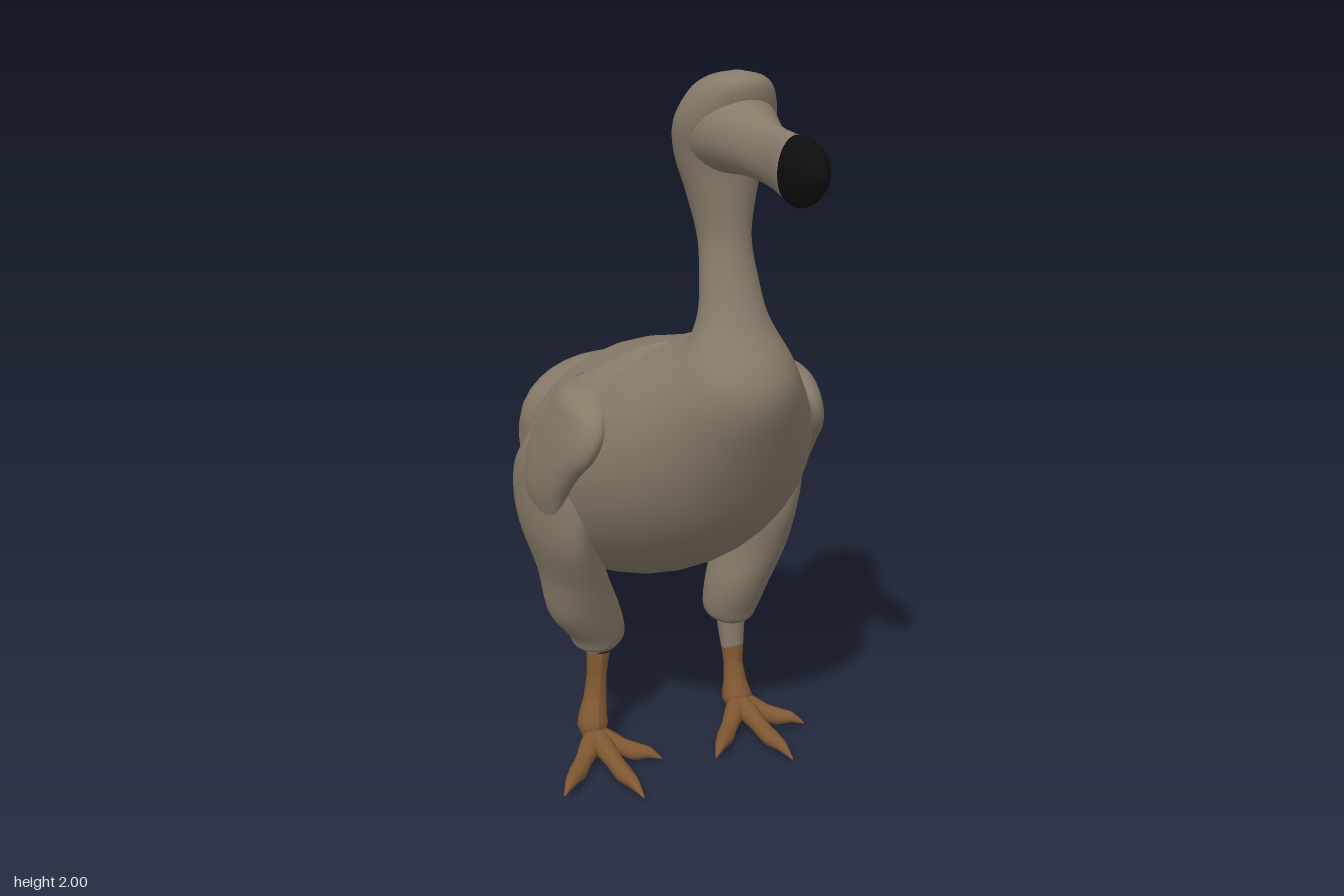
import * as THREE from 'three';

const plumage = new THREE.MeshStandardMaterial({ color: 0x877a69 });
plumage.name = 'taupe plumage';
const skin = new THREE.MeshStandardMaterial({ color: 0x7f5732 });
skin.name = 'orange brown leg skin';
const horn = new THREE.MeshStandardMaterial({ color: 0x0e0e0e });
horn.name = 'black horn';

// Smooth closed skin through oval rings [x, yA, zA, yB, zB, halfWidth]:
// A and B are the two ends of the oval in the side plane.
function loft(rings, steps = 6, sides = 32) {
  const spline = (i, j, k) => new THREE.CatmullRomCurve3(
    rings.map(r => new THREE.Vector3(r[i], r[j], r[k])), false, 'catmullrom', 0.5);
  const first = spline(0, 1, 2), second = spline(3, 4, 5);
  const n = (rings.length - 1) * steps;
  const pos = [], index = [];
  for (let i = 0; i <= n; i++) {
    const [p, q] = [first.getPoint(i / n), second.getPoint(i / n)];
    const [x, yA, zA, yB, zB, w] = [p.x, p.y, p.z, q.x, q.y, Math.max(q.z, 0.002)];
    for (let j = 0; j < sides; j++) {
      const a = j / sides * Math.PI * 2, c = Math.cos(a) / 2;
      pos.push(x + Math.sin(a) * w, (yA + yB) / 2 + c * (yA - yB), (zA + zB) / 2 + c * (zA - zB));
    }
  }
  for (let i = 0; i < n; i++) {
    for (let j = 0; j < sides; j++) {
      const a = i * sides + j, b = i * sides + (j + 1) % sides;
      index.push(a, b, a + sides, b, b + sides, a + sides);
    }
  }
  // End caps
  for (let j = 1; j < sides - 1; j++) {
    const e = n * sides;
    index.push(0, j + 1, j, e, e + j, e + j + 1);
  }
  // Turn the faces outward when the signed volume is negative
  let volume = 0;
  const v = k => new THREE.Vector3().fromArray(pos, k * 3);
  for (let t = 0; t < index.length; t += 3) {
    volume += v(index[t]).dot(v(index[t + 1]).cross(v(index[t + 2])));
  }
  if (volume < 0) index.reverse();
  const g = new THREE.BufferGeometry();
  g.setAttribute('position', new THREE.Float32BufferAttribute(pos, 3));
  g.setIndex(index);
  g.computeVertexNormals();
  return g;
}

// Tapered round limb along [x, y, z, radius] points
function limb(points) {
  const curve = new THREE.CatmullRomCurve3(points.map(p => new THREE.Vector3(...p)));
  const n = (points.length - 1) * 5, sides = 12;
  const g = new THREE.TubeGeometry(curve, n, 1, sides, false);
  const pos = g.attributes.position, p = new THREE.Vector3();
  for (let i = 0; i <= n; i++) {
    const t = i / n * (points.length - 1), k = Math.min(Math.floor(t), points.length - 2);
    const r = THREE.MathUtils.lerp(points[k][3], points[k + 1][3], t - k);
    const c = curve.getPointAt(i / n);
    for (let j = 0; j <= sides; j++) {
      const m = i * (sides + 1) + j;
      p.fromBufferAttribute(pos, m).sub(c).multiplyScalar(r).add(c);
      pos.setXYZ(m, p.x, p.y, p.z);
    }
  }
  g.computeVertexNormals();
  return g;
}

// The legs stand unevenly: x of the lower thigh, knee, shank and foot
const stance = [
  { side: 'left', s: 1, thighX: [0.295, 0.262], thighW: 0.09, kneeX: 0.25, footX: 0.245, bareTop: 0.225 },
  { side: 'right', s: -1, thighX: [-0.265, -0.228], thighW: 0.102, kneeX: -0.185, footX: -0.222, bareTop: 0.3 },
];

export function createModel() {
  const model = new THREE.Group();
  const add = (name, geometry, material, parent = model) => {
    const mesh = new THREE.Mesh(geometry, material);
    mesh.name = name;
    parent.add(mesh);
    return mesh;
  };

  // Rump, belly, chest, neck and head in one skin
  add('bodyNeckAndHead', loft([
    [0, 0.84, -0.66, 0.76, -0.66, 0.03],
    [0, 0.97, -0.61, 0.62, -0.6, 0.13],
    [0, 1.04, -0.51, 0.535, -0.51, 0.21],
    [0, 1.09, -0.39, 0.485, -0.38, 0.295],
    [0, 1.195, -0.2, 0.487, -0.22, 0.365],
    [0, 1.26, 0, 0.56, 0, 0.37],
    [0, 1.30, 0.13, 0.68, 0.2, 0.335],
    [0, 1.33, 0.2, 0.84, 0.36, 0.28],
    [0, 1.35, 0.25, 1.06, 0.48, 0.205],
    [0, 1.37, 0.28, 1.25, 0.54, 0.14],
    [0, 1.42, 0.287, 1.4, 0.455, 0.09],
    [0, 1.51, 0.275, 1.5, 0.41, 0.073],
    [0, 1.6, 0.245, 1.6, 0.385, 0.066],
    [0, 1.7, 0.21, 1.7, 0.382, 0.085],
    [0, 1.8, 0.19, 1.8, 0.388, 0.115],
    [0, 1.88, 0.203, 1.88, 0.42, 0.125],
    [0, 1.95, 0.25, 1.95, 0.438, 0.103],
    [0, 1.985, 0.3, 1.985, 0.43, 0.068],
    [0, 2.0, 0.36, 2.0, 0.39, 0.012],
  ]), plumage);

  // Beak with its black hooked tip
  add('beak', loft([
    [0, 1.97, 0.3, 1.74, 0.28, 0.116],
    [0, 1.955, 0.39, 1.76, 0.37, 0.104],
    [0, 1.93, 0.47, 1.77, 0.46, 0.074],
    [0, 1.905, 0.56, 1.765, 0.56, 0.044],
    [0, 1.897, 0.66, 1.745, 0.655, 0.041],
  ]), plumage);
  add('beakTip', loft([
    [0, 1.897, 0.66, 1.746, 0.645, 0.041],
    [0, 1.9, 0.7, 1.74, 0.685, 0.044],
    [0, 1.885, 0.75, 1.757, 0.735, 0.037],
    [0, 1.855, 0.78, 1.79, 0.77, 0.022],
    [0, 1.83, 0.79, 1.815, 0.788, 0.004],
  ]), horn);

  // Drooping tail puff, set a little to the left
  add('tail', loft([
    [0.06, 1.03, -0.35, 0.8, -0.38, 0.08],
    [0.07, 1.07, -0.45, 0.72, -0.43, 0.18],
    [0.055, 1.045, -0.58, 0.7, -0.5, 0.215],
    [0.03, 0.99, -0.705, 0.7, -0.55, 0.232],
    [0.03, 0.88, -0.775, 0.68, -0.57, 0.238],
    [0.02, 0.75, -0.785, 0.65, -0.58, 0.22],
    [0.0, 0.63, -0.745, 0.6, -0.59, 0.175],
    [-0.01, 0.56, -0.69, 0.56, -0.61, 0.1],
    [-0.01, 0.54, -0.655, 0.545, -0.64, 0.02],
  ]), plumage);

  for (const { side, s, thighX, thighW, kneeX, footX, bareTop } of stance) {
    const limbs = new THREE.Group();
    limbs.name = side + 'Limbs';
    model.add(limbs);

    // Shoulder ridge running back from the neck
    add(side + 'Shoulder', loft([
      [s * 0.1, 1.32, 0.22, 1.24, 0.24, 0.02],
      [s * 0.15, 1.295, 0.16, 1.12, 0.24, 0.06],
      [s * 0.22, 1.24, 0.09, 1.02, 0.19, 0.08],
      [s * 0.28, 1.17, 0, 0.92, 0.1, 0.075],
      [s * 0.31, 1.06, -0.11, 0.84, -0.07, 0.055],
      [s * 0.3, 0.97, -0.22, 0.87, -0.22, 0.02],
    ]), plumage, limbs);

    // Stubby wing lobe
    add(side + 'Wing', loft([
      [s * 0.27, 1.19, 0.12, 1.19, 0.07, 0.02],
      [s * 0.295, 1.155, 0.21, 1.165, 0, 0.05],
      [s * 0.31, 1.1, 0.25, 1.11, -0.05, 0.058],
      [s * 0.33, 1.03, 0.235, 1.04, -0.1, 0.056],
      [s * 0.35, 0.96, 0.17, 0.95, -0.14, 0.052],
      [s * 0.36, 0.88, 0.11, 0.86, -0.14, 0.045],
      [s * 0.35, 0.78, 0.06, 0.78, -0.1, 0.03],
      [s * 0.34, 0.7, 0, 0.7, -0.04, 0.01],
    ]), plumage, limbs);

    // Feathered thigh, broad at the haunch
    add(side + 'Thigh', loft([
      [s * 0.29, 1.06, 0.04, 1.06, -0.08, 0.03],
      [s * 0.31, 0.95, 0.11, 0.95, -0.22, 0.08],
      [s * 0.315, 0.84, 0.13, 0.84, -0.3, 0.088],
      [s * 0.307, 0.72, 0.115, 0.72, -0.29, 0.088],
      [thighX[0], 0.58, 0.06, 0.58, -0.235, 0.09],
      [thighX[1], 0.45, 0.01, 0.45, -0.205, thighW],
      [kneeX, 0.36, -0.03, 0.36, -0.2, 0.083],
      [kneeX, 0.32, -0.05, 0.32, -0.18, 0.062],
      [kneeX, 0.3, -0.09, 0.3, -0.13, 0.012],
    ]), plumage, limbs);

    // Shank, feathered at the top and bare below
    add(side + 'UpperShank', limb([
      [kneeX, 0.34, -0.115, 0.046],
      [kneeX, (0.34 + bareTop) / 2, -0.11, 0.04],
      [kneeX, bareTop - 0.005, -0.1, 0.034],
    ]), plumage, limbs);
    add(side + 'Shank', limb([
      [kneeX, bareTop, -0.1, 0.034],
      [(kneeX + footX) / 2, 0.16, -0.085, 0.029],
      [footX, 0.09, -0.06, 0.034],
      [footX, 0.045, -0.04, 0.046],
      [footX, 0.02, -0.03, 0.02],
    ]), skin, limbs);

    // Three front toes and one back toe, both feet turned alike: reach in x and z
    const toes = { RightToe: [-0.165, 0.19], MiddleToe: [0.025, 0.285], LeftToe: [0.145, 0.13], BackToe: [0.035, -0.16] };
    for (const [name, [dx, dz]] of Object.entries(toes)) {
      const at = (t, y, r) => [footX + t * dx, y, -0.04 + t * dz, r];
      add(side + 'Foot' + name, limb([
        at(0, 0.06, 0.032), at(0.3, 0.042, 0.031), at(0.6, 0.028, 0.025),
        at(0.82, 0.031, 0.026), at(0.96, 0.024, 0.017), at(1.04, 0.018, 0.002),
      ]), skin, limbs);
    }
  }

  // Small flat patches: dark on the left knee, brown on the right shoulder
  const patch = (name, material, position, normal, size) => {
    const disc = add(name, new THREE.CylinderGeometry(size, size, 0.009, 16), material);
    disc.position.set(...position);
    disc.quaternion.setFromUnitVectors(new THREE.Vector3(0, 1, 0), new THREE.Vector3(...normal).normalize());
  };
  patch('kneePatch', horn, [0.316, 0.333, -0.142], [0.85, -0.4, -0.35], 0.017);
  patch('shoulderPatch', skin, [-0.255, 1.175, -0.01], [-0.45, 0.85, -0.25], 0.016);
  return model;
}
